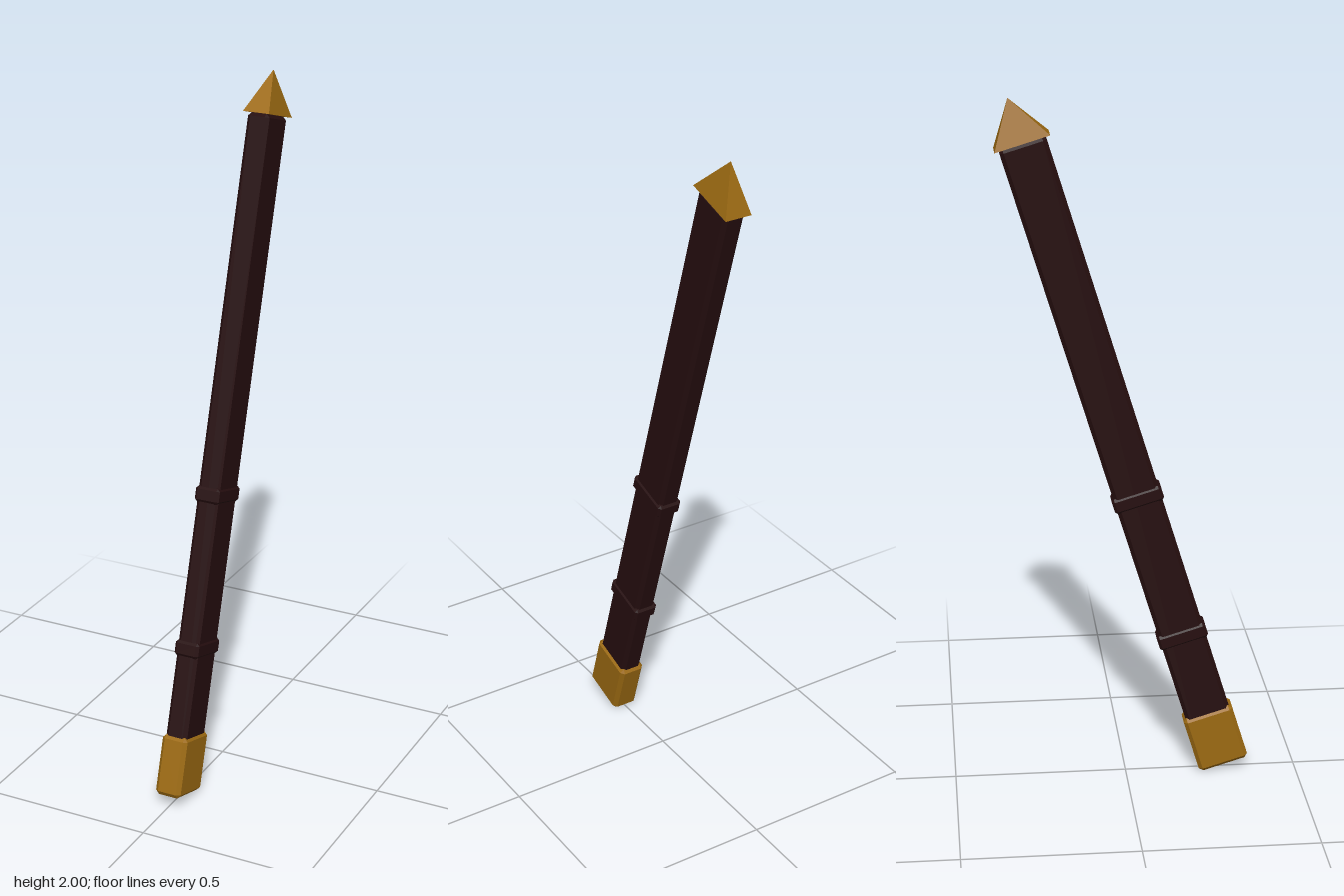
import * as THREE from 'three';
import { ConvexGeometry } from 'three/addons/geometries/ConvexGeometry.js';

// Box with flat chamfers on every edge, given its width, bottom, top and depth
function chamferedBox(width, bottom, top, depth, c) {
  const h = [width / 2, (top - bottom) / 2, depth / 2];
  const points = [];
  for (const sx of [-1, 1]) for (const sy of [-1, 1]) for (const sz of [-1, 1]) {
    for (let axis = 0; axis < 3; axis++) {
      const p = h.map((v, i) => (i === axis ? v : v - c));
      points.push(new THREE.Vector3(sx * p[0], sy * p[1], sz * p[2]));
    }
  }
  return new ConvexGeometry(points).translate(0, (top + bottom) / 2, 0);
}

// Four-sided pointed tip on a rectangular base
function pyramid(width, bottom, top, depth) {
  const points = [new THREE.Vector3(0, top, 0)];
  for (const sx of [-1, 1]) for (const sz of [-1, 1]) {
    points.push(new THREE.Vector3(sx * width / 2, bottom, sz * depth / 2));
  }
  return new ConvexGeometry(points);
}

export function createModel() {
  const gold = new THREE.MeshStandardMaterial({ color: 0x9c6a12 });
  gold.name = 'gold';
  const leather = new THREE.MeshStandardMaterial({ color: 0x260e0f });
  leather.name = 'dark leather';

  const model = new THREE.Group();
  model.name = 'scabbard';

  // Everything is built upright along the long axis, then leaned back
  const body = new THREE.Group();
  body.name = 'leaningBody';
  body.rotation.x = THREE.MathUtils.degToRad(-17);
  body.position.set(0, 0.029, 0.2865);
  model.add(body);

  const add = (name, geometry, material) => {
    const mesh = new THREE.Mesh(geometry, material);
    mesh.name = name;
    body.add(mesh);
  };

  // Long sheath
  add('sheath', chamferedBox(0.066, 0.05, 1.938, 0.133, 0.011), leather);

  // Raised bands
  add('lowerBand', chamferedBox(0.075, 0.398, 0.444, 0.146, 0.008), leather);
  add('upperBand', chamferedBox(0.075, 0.843, 0.889, 0.146, 0.008), leather);

  // Metal end cap and pointed tip
  add('endCap', chamferedBox(0.079, -0.0106, 0.167, 0.149, 0.011), gold);
  add('pointedTip', pyramid(0.079, 1.937, 2.061, 0.157), gold);

  return model;
}
